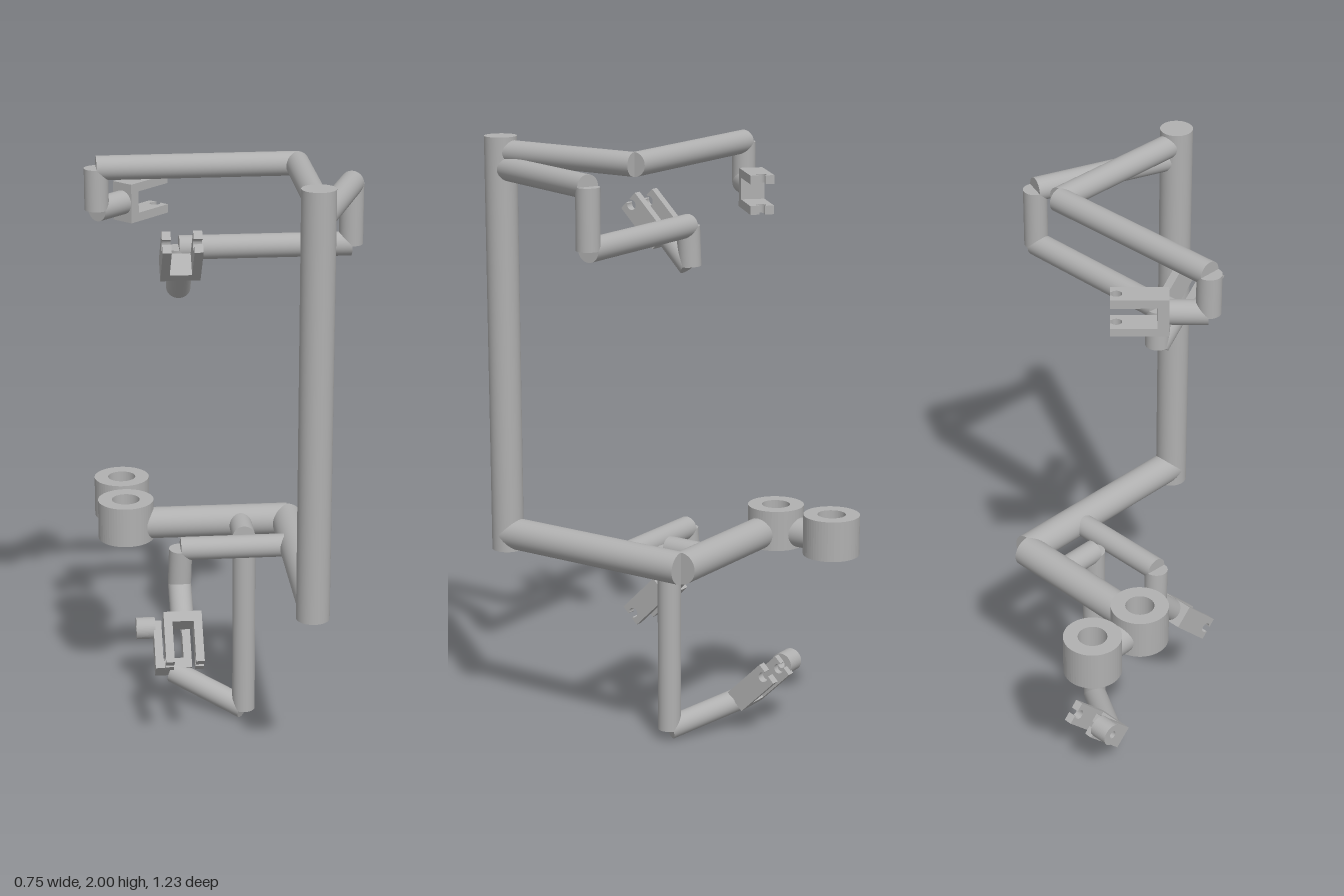
import * as THREE from 'three';

const V = (x, y, z) => new THREE.Vector3(x, y, z);
const ROD = 0.0385, BEAM = 0.053;

export function createModel() {
  const root = new THREE.Group();
  root.name = 'multiArmRig';
  const grey = new THREE.MeshStandardMaterial({ color: 0xb0b0b0 });
  grey.name = 'plain grey';

  const add = (parent, name, geometry) => {
    const mesh = new THREE.Mesh(geometry, grey);
    mesh.name = name;
    parent.add(mesh);
    return mesh;
  };

  // flat-ended round bar between two points
  const bar = (parent, name, a, b, r) => {
    const d = b.clone().sub(a);
    const mesh = add(parent, name, new THREE.CylinderGeometry(r, r, d.length(), 40));
    mesh.position.copy(a).addScaledVector(d, 0.5);
    mesh.quaternion.setFromUnitVectors(V(0, 1, 0), d.normalize());
  };

  // one bar for each step of a path
  const arm = (name, points, r = ROD) => {
    const group = new THREE.Group();
    group.name = name;
    root.add(group);
    for (let i = 1; i < points.length; i++) bar(group, 'link' + i, points[i - 1], points[i], r);
    return group;
  };

  // hollow upright cylinder, centred on its own origin
  const sleeve = (parent, name, outer, inner, height) => {
    const shape = new THREE.Shape().absarc(0, 0, outer, 0, Math.PI * 2, false);
    shape.holes.push(new THREE.Path().absarc(0, 0, inner, 0, Math.PI * 2, true));
    const geo = new THREE.ExtrudeGeometry(shape, { depth: height, bevelEnabled: false, curveSegments: 28 });
    geo.translate(0, 0, -height / 2).rotateX(Math.PI / 2);
    return add(parent, name, geo);
  };

  // U-shaped gripper: x runs along the jaws, y across them
  const LEN = 0.176, HALF = 0.039, SPAN = 0.126, JAW = 0.028, BACK = 0.035;
  const jaw = new THREE.Shape();
  const slot = 0.009, notch = 0.017, cx = LEN - 0.019;
  const open = Math.asin(slot / notch);
  jaw.moveTo(0, -HALF);
  jaw.lineTo(LEN, -HALF);
  jaw.lineTo(LEN, -slot);
  jaw.absarc(cx, 0, notch, -open, open - Math.PI * 2, true);
  jaw.lineTo(LEN, slot);
  jaw.lineTo(LEN, HALF);
  jaw.lineTo(0, HALF);
  jaw.closePath();
  const jawGeo = new THREE.ExtrudeGeometry(jaw, { depth: JAW, bevelEnabled: false, curveSegments: 20 });
  jawGeo.translate(0, 0, -JAW / 2).rotateX(Math.PI / 2);

  const gripper = (parent, base, along, across) => {
    const group = new THREE.Group();
    group.name = 'gripper';
    const x = along.clone().normalize(), y = across.clone().normalize();
    group.quaternion.setFromRotationMatrix(new THREE.Matrix4().makeBasis(x, y, x.clone().cross(y)));
    group.position.copy(base);
    add(group, 'palm', new THREE.BoxGeometry(BACK, SPAN - 2 * JAW, 2 * HALF)).position.x = BACK / 2;
    for (const s of [-1, 1]) add(group, 'jaw', jawGeo).position.y = s * (SPAN - JAW) / 2;
    parent.add(group);
    return group;
  };

  // post and the heavy folding beam
  const px = -0.047, pz = 0.56, beamY = 0.672;
  bar(root, 'post', V(px, 0.617, pz), V(px, 2, pz), BEAM);
  const elbow = V(0.303, beamY, -0.046);
  arm('mainBeam', [V(px, beamY, pz), elbow, V(-0.11, beamY, -0.287)], BEAM);

  // twin sleeves with a short bridge
  const c1 = V(-0.163, 0.687, -0.332), c2 = V(-0.057, 0.687, -0.52);
  for (const c of [c1, c2]) sleeve(root, 'endSleeve', 0.094, 0.047, 0.136).position.copy(c);
  const bridge = (t) => c1.clone().lerp(c2, t).setY(beamY);
  bar(root, 'sleeveBridge', bridge(0.28), bridge(0.72), 0.05);

  const side = V(0.866, 0, 0.5);

  // top arm, gripper level
  const wristA = V(-0.336, 1.817, -0.207);
  const baseA = V(-0.222, 1.817, -0.235);
  const armA = arm('topArm', [V(px, 1.95, pz), V(0.216, 1.95, 0.105), V(-0.336, 1.95, -0.207), wristA, baseA]);
  gripper(armA, baseA, V(0.966, 0, -0.259), V(0, 1, 0));

  // second arm, gripper tilted upward
  const alongB = V(-0.354, 0.707, 0.612);
  const baseB = V(-0.18, 1.648, 0.025);
  const armB = arm('upperArm', [V(px, 1.897, pz), V(0.333, 1.897, 0.238), V(0.333, 1.7, 0.238),
    V(-0.14, 1.7, -0.037), V(-0.14, 1.568, -0.042), baseB]);
  gripper(armB, baseB, alongB, side);

  // arm branching off the first beam, gripper tilted downward
  const alongD = V(-0.354, -0.707, 0.612);
  const baseD = V(-0.18, 0.462, 0.025);
  const armD = arm('middleArm', [V(0.186, beamY, 0.156), V(-0.143, beamY, -0.034),
    V(-0.143, 0.543, -0.042), baseD]);
  gripper(armD, baseD, alongD, side);

  // hanging arm branching off the second beam, with a small sleeve at the jaw tip
  const alongC = V(0.354, 0.707, -0.612);
  const baseC = V(-0.037, 0.113, -0.238);
  const armC = arm('hangingArm', [V(0.163, beamY, -0.127), V(0.085, beamY, 0.008),
    V(0.085, 0.04, 0.008), baseC]);
  gripper(armC, baseC, alongC, side);
  const tip = sleeve(armC, 'tipSleeve', 0.038, 0.013, 0.065);
  tip.position.set(-0.06, 0.232, -0.377);
  tip.quaternion.setFromUnitVectors(V(0, 1, 0), side.clone().normalize());

  return root;
}
